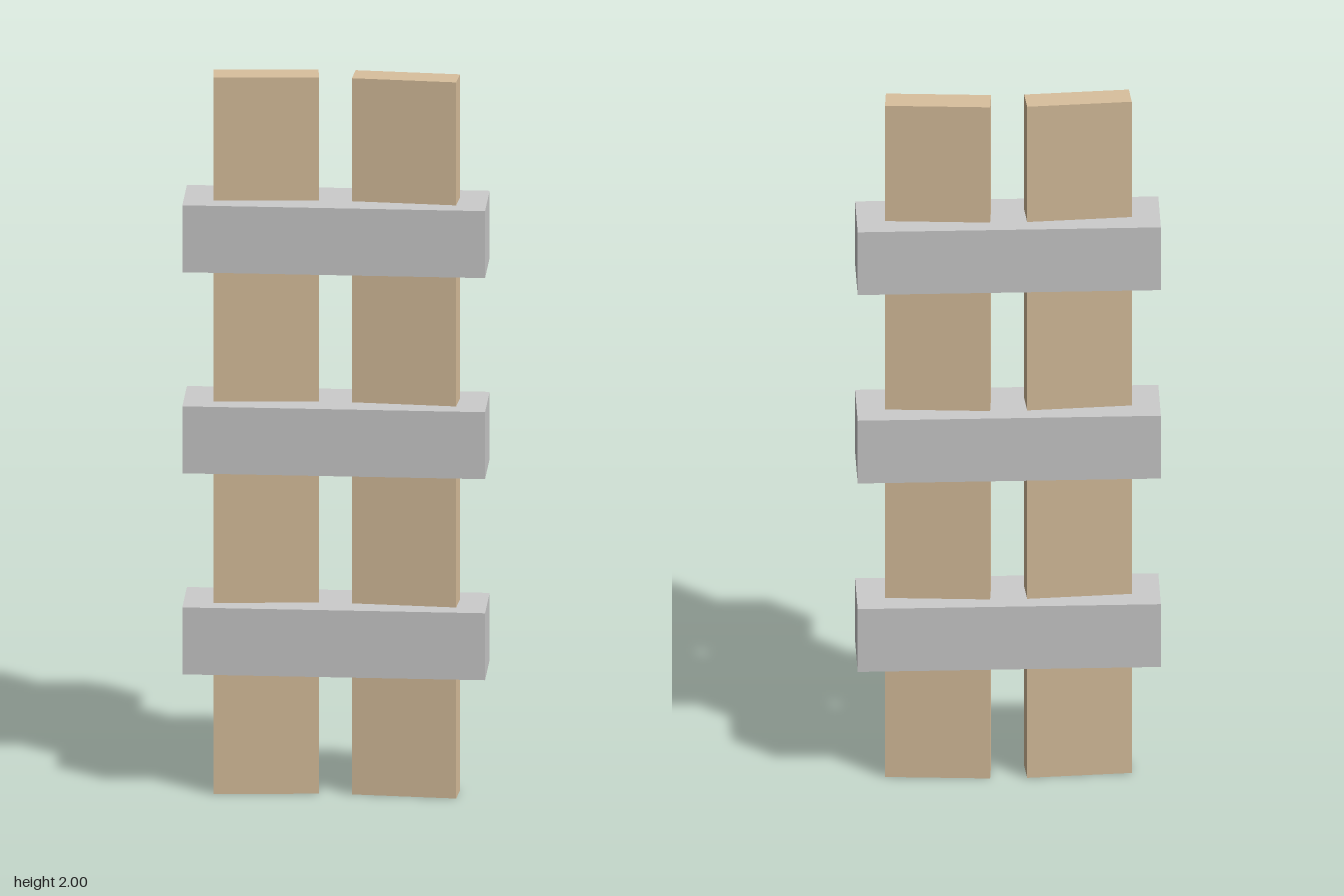
import * as THREE from 'three';

export function createModel() {
  const model = new THREE.Group();
  const wood = new THREE.MeshStandardMaterial({ color: 0xd9c09d });
  const grey = new THREE.MeshStandardMaterial({ color: 0xcccccc });

  const addBox = (name, size, position, material) => {
    const mesh = new THREE.Mesh(new THREE.BoxGeometry(...size), material);
    mesh.name = name;
    mesh.position.set(...position);
    model.add(mesh);
    return mesh;
  };

  // Two upright planks, mirrored and turned slightly away from each other
  for (const side of [-1, 1]) {
    const plank = addBox(side > 0 ? 'leftPlank' : 'rightPlank',
      [0.281, 2, 0.074], [side * 0.187, 1, -0.001], wood);
    plank.rotation.y = -side * 0.07;
  }

  // Three crossbars that enclose the planks
  ['lowerCrossbar', 'middleCrossbar', 'upperCrossbar'].forEach((name, i) => {
    addBox(name, [0.81, 0.187, 0.186], [0, 0.44 + i * 0.5615, 0], grey);
  });

  return model;
}
